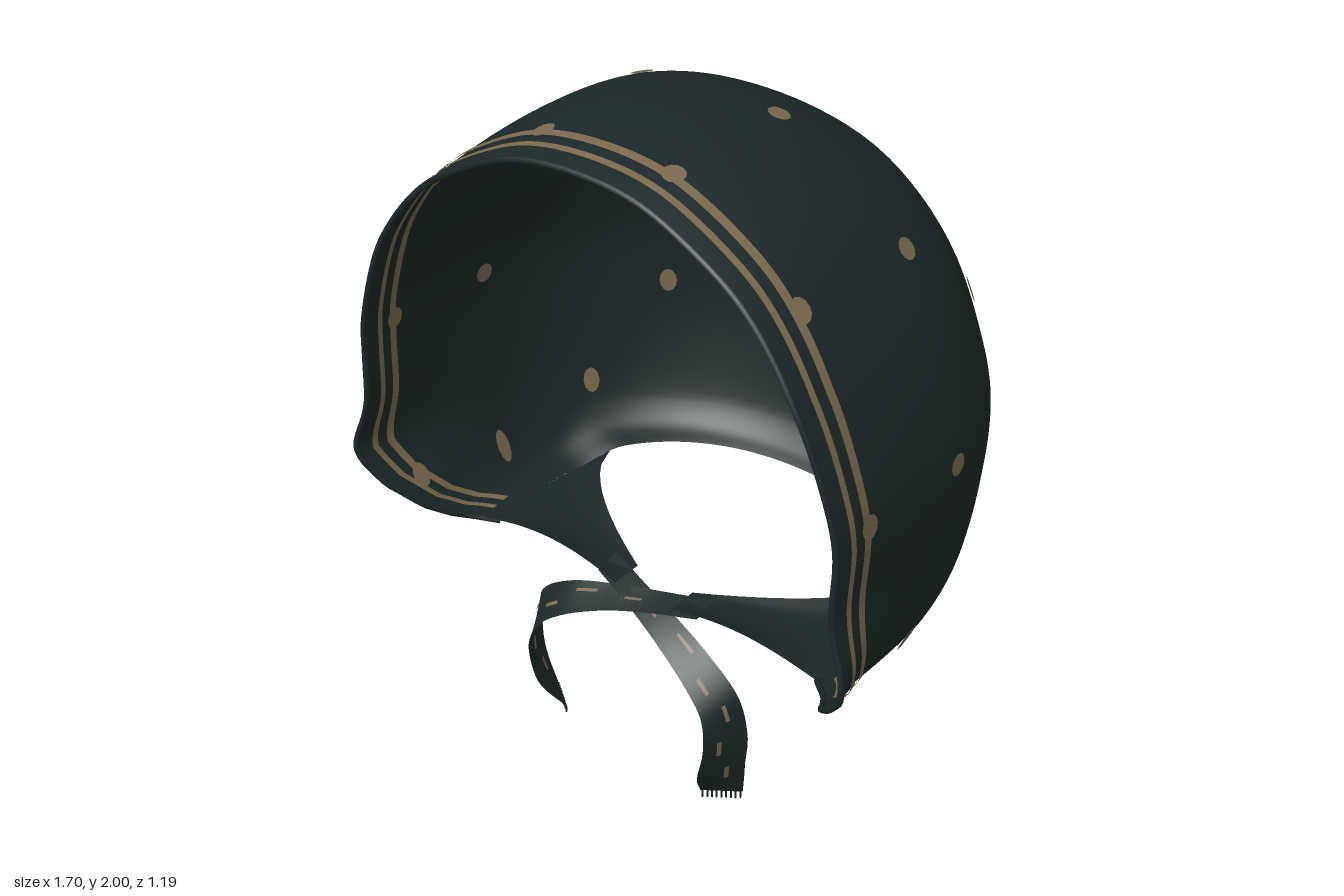
import * as THREE from 'three';
import { mergeVertices } from 'three/addons/utils/BufferGeometryUtils.js';

const V = (x, y, z) => new THREE.Vector3(x, y, z);
const { lerp, clamp, smoothstep } = THREE.MathUtils;

// Hood profile from crown to neck: half width, height, depth behind centre.
// The first point mirrors the third so the crown stays smooth.
const profile = new THREE.CatmullRomCurve3([
  V(-0.21, 1.977, 0.07), V(0, 2, -0.1), V(0.21, 1.977, 0.07), V(0.4, 1.895, 0.24),
  V(0.555, 1.78, 0.375), V(0.69, 1.59, 0.495), V(0.78, 1.36, 0.565), V(0.81, 1.2, 0.59),
  V(0.8, 1.0, 0.585), V(0.775, 0.82, 0.555), V(0.735, 0.69, 0.52), V(0.685, 0.605, 0.475),
  V(0.6, 0.563, 0.43),
], false, 'catmullrom', 0.5);
const SPANS = 12;
const SIDE_Z = 0.1;
const ROUND = 2 / 2.15;

// Depth of the face opening at each height
const rimPoints = [[0.563, 0.3], [0.605, 0.4], [0.66, 0.475], [0.75, 0.55], [0.85, 0.59],
  [1.0, 0.57], [1.2, 0.555], [1.6, 0.56], [2.0, 0.525]];
function rimZ(y) {
  for (let i = 1; i < rimPoints.length; i++) {
    const [y0, z0] = rimPoints[i - 1], [y1, z1] = rimPoints[i];
    if (y <= y1) return lerp(z0, z1, clamp((y - y0) / (y1 - y0), 0, 1));
  }
  return 0.525;
}
const level = (v) => profile.getPoint((1 + v * (SPANS - 1)) / SPANS);

// Hood surface: v runs crown to neck, q = 0 at the back and +-2 at the rim
function hood(v, q) {
  const p = level(v), side = Math.sign(q), s = Math.abs(q);
  let x = p.x, y = p.y, z;
  if (s <= 1) {
    const a = s * Math.PI / 2;
    x *= Math.sin(a) ** ROUND;
    z = SIDE_Z - (SIDE_Z + p.z) * Math.cos(a) ** ROUND;
    // The neck edge sits a little higher behind the chin flaps
    y += 0.037 * smoothstep(-z, 0.04, 0.2) * clamp((0.7 - p.y) / 0.137, 0, 1);
  } else {
    const t = s - 1;
    z = lerp(SIDE_Z, rimZ(p.y), t);
    const flare = 0.08 * Math.exp(-(((p.y - 0.85) / 0.13) ** 2));
    x += flare * t ** 1.6 - 0.022 * t * t * Math.min(1, p.x * 3);
    y -= 0.06 * t * t * clamp((p.y - 1.2) / 0.8, 0, 1);
  }
  return V(side * x, y, z);
}

// Smooth grid over fn(u, v)
function surface(fn, nu, nv) {
  const pos = [], index = [];
  for (let i = 0; i <= nu; i++)
    for (let j = 0; j <= nv; j++) pos.push(...fn(i / nu, j / nv).toArray());
  for (let i = 0; i < nu; i++)
    for (let j = 0; j < nv; j++) {
      const a = i * (nv + 1) + j, b = a + nv + 1;
      index.push(a, b, a + 1, b, b + 1, a + 1);
    }
  let g = new THREE.BufferGeometry();
  g.setAttribute('position', new THREE.Float32BufferAttribute(pos, 3));
  g.setIndex(index);
  g = mergeVertices(g, 1e-5);
  g.computeVertexNormals();
  return g;
}

// Surface normal by finite differences
function normalOf(fn, u, v) {
  const e = 0.004;
  const du = fn(u + e, v).sub(fn(u - e, v));
  const dv = fn(u, v + e).sub(fn(u, v - e));
  return du.cross(dv).normalize();
}

export function createModel() {
  const model = new THREE.Group();
  const cloth = new THREE.MeshStandardMaterial({ color: 0x1c2727, side: THREE.DoubleSide });
  cloth.name = 'dark teal cloth';
  const tan = new THREE.MeshStandardMaterial({ color: 0x78684e, side: THREE.DoubleSide });
  tan.name = 'tan print';
  const add = (name, geometry, material, parent = model) => {
    const mesh = new THREE.Mesh(geometry, material);
    mesh.name = name;
    parent.add(mesh);
    return mesh;
  };

  add('hood', surface((u, v) => hood(v, u * 4 - 2), 120, 64), cloth);

  // Hem around the face opening
  const rim = [];
  for (let i = -40; i <= 40; i++) rim.push(hood(Math.abs(i) / 40, i < 0 ? -2 : 2));
  add('rimHem', new THREE.TubeGeometry(new THREE.CatmullRomCurve3(rim), 160, 0.009, 6), cloth);

  // Two printed bands behind the hem, inside and outside
  for (const [d0, d1] of [[0.05, 0.068], [0.098, 0.122]])
    for (const side of [-1, 1])
      for (const lift of [-0.005, 0.005])
        add('rimStripe', surface((u, w) => {
          const v = u * 0.965;
          const q = side * (2 - lerp(d0, d1, w) / (rimZ(level(v).y) - SIDE_Z));
          return hood(v, q).addScaledVector(normalOf(hood, v, q), lift);
        }, 80, 1), tan);

  // Printed dots on both faces of the cloth, snapped to the hood;
  // the last value stretches them upright lower down
  const dots = [[0.215, 1.79, -0.37, 1], [0.21, 1.97, 0.03, 1], [0.61, 1.74, 0.03, 1],
    [0.61, 1.5, -0.36, 1.2], [0.215, 1.27, -0.58, 1.25], [0.51, 1.09, -0.43, 1.25],
    [0.79, 1.22, 0.08, 1], [0.71, 0.76, -0.26, 1.35], [0.72, 0.68, 0.12, 1.8],
    [0.2, 1.95, 0.41, 1], [0.57, 1.74, 0.425, 1.1], [0.8, 1.24, 0.44, 1.1], [0.79, 0.71, 0.43, 1.3]];
  const disc = new THREE.CircleGeometry(0.03, 12);
  for (const [x, y, z, stretch] of dots)
    for (const side of [-1, 1]) {
      const target = V(side * x, y, z);
      let best = Infinity, bv = 0, bq = 0;
      for (let i = 2; i < 99; i++)
        for (let j = 1; j < 100; j++) {
          const d = hood(i / 100, side * j / 50).distanceToSquared(target);
          if (d < best) { best = d; bv = i / 100; bq = side * j / 50; }
        }
      const n = normalOf(hood, bv, bq);
      for (const lift of [-0.006, 0.006]) {
        const dot = add('dot', disc, tan);
        dot.position.copy(hood(bv, bq)).addScaledVector(n, lift);
        dot.lookAt(dot.position.clone().add(n));
        dot.scale.set(1 / Math.sqrt(stretch), stretch, 1);
      }
    }

  // Chin flaps folding in under the hood and narrowing to the ties
  for (const side of [-1, 1])
    add('chinFlap', surface((u, k) => {
      const p = hood(1, side * lerp(0.7, 2, u));
      return V(lerp(p.x, side * 0.1, k),
        lerp(p.y, 0.58, k) + 0.042 * Math.sin(Math.PI * k) ** 0.8 * u * u,
        lerp(p.z, lerp(0.23, 0.33, u), k ** 0.6));
    }, 24, 16), cloth);

  // Ribbon ties: centre line and half-width vector, crossing under the chin
  const line = new THREE.CatmullRomCurve3([V(0.18, 0.583, 0.27), V(0.04, 0.565, 0.31),
    V(-0.1, 0.54, 0.35), V(-0.25, 0.485, 0.385), V(-0.34, 0.41, 0.395), V(-0.365, 0.3, 0.395),
    V(-0.35, 0.18, 0.39), V(-0.32, 0.055, 0.345)]);
  const half = new THREE.CatmullRomCurve3([V(0, 0.008, -0.04), V(0, 0.012, -0.04),
    V(-0.005, 0.02, -0.04), V(-0.015, 0.032, -0.04), V(-0.03, 0.025, -0.045),
    V(-0.03, 0, -0.062), V(-0.038, 0, -0.06), V(-0.05, 0, -0.035)]);
  for (const side of [1, -1]) {
    const tie = new THREE.Group();
    tie.name = side > 0 ? 'rightTie' : 'leftTie';
    model.add(tie);
    const ribbon = (u, w) => {
      const p = line.getPoint(u).addScaledVector(half.getPoint(u), w * 2 - 1);
      if (side < 0) { p.x = -p.x + u * -0.025; p.y -= 0.03 * u; }
      return p;
    };
    add('ribbon', surface(ribbon, 48, 4), cloth, tie);

    // Thin printed dashes along the ribbon
    for (const [u, w] of [[0.22, 0.5], [0.36, 0.7], [0.48, 0.4], [0.6, 0.6], [0.73, 0.35], [0.86, 0.6]])
      for (const lift of [-0.004, 0.004])
        add('ribbonDash', surface((a, b) => {
          const uu = u + (a - 0.5) * 0.06, ww = w + (b - 0.5) * 0.1;
          return ribbon(uu, ww).addScaledVector(normalOf(ribbon, uu, ww), lift);
        }, 4, 1), tan, tie);

    // Frayed end
    for (let i = 0; i < 9; i++) {
      const thread = add('fringeThread', new THREE.BoxGeometry(0.004, 0.025, 0.004), cloth, tie);
      thread.position.copy(ribbon(1, (i + 0.5) / 9));
      thread.position.y -= 0.0125;
    }
  }
  return model;
}
